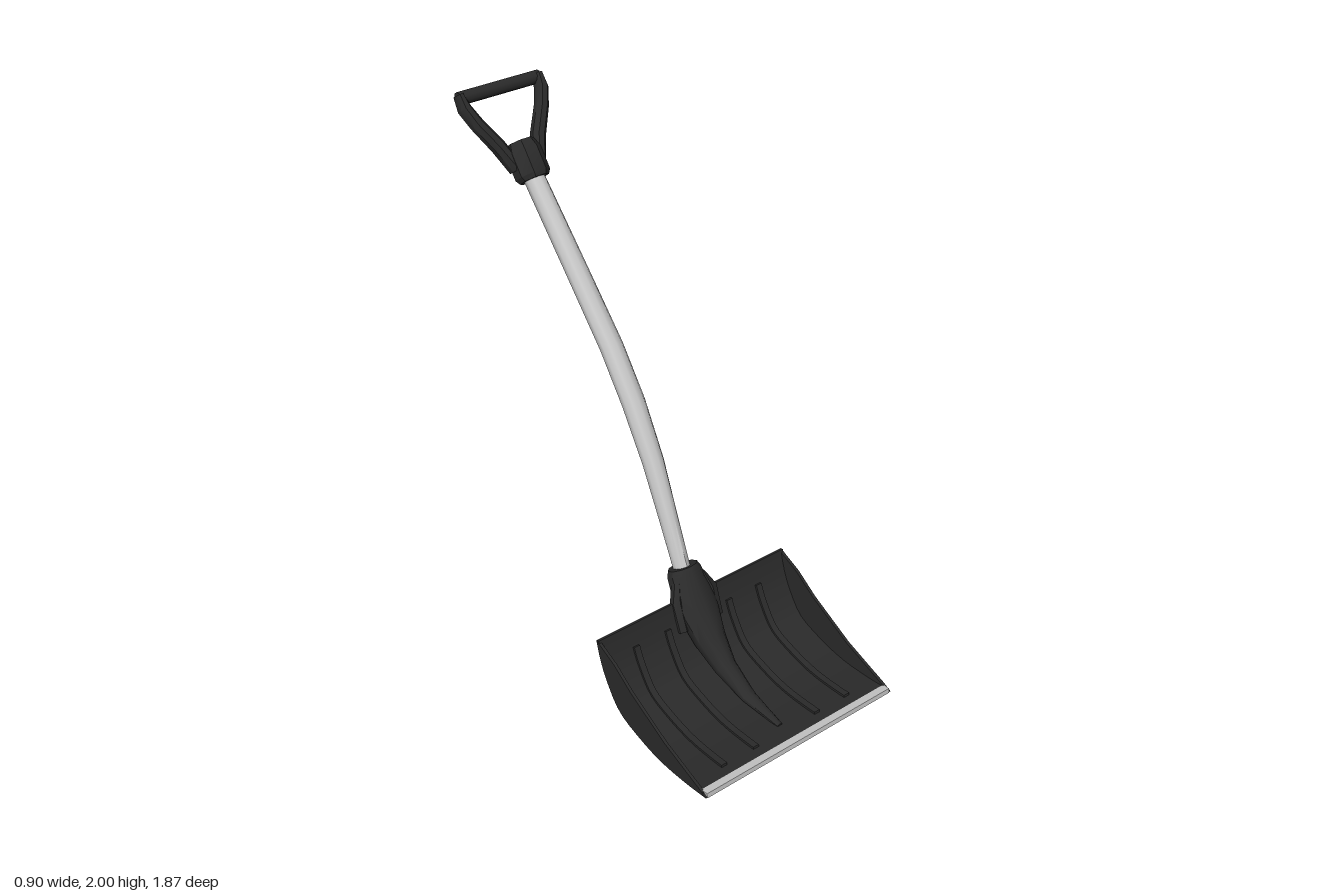
import * as THREE from 'three';
import { toCreasedNormals } from 'three/addons/utils/BufferGeometryUtils.js';

const plastic = new THREE.MeshStandardMaterial({ color: 0x2a2a2a });
plastic.name = 'black plastic';
const metal = new THREE.MeshStandardMaterial({ color: 0xc6c6c6 });
metal.name = 'light metal';

// Closed solid through stations [x, y, z, half width, half depth]
function loft(stations, sides, crease = 0.7) {
  const pts = stations.map(s => new THREE.Vector3(s[0], s[1], s[2]));
  const n = pts.length;
  const pos = [];
  const rings = pts.map((p, i) => {
    const t = pts[Math.min(i + 1, n - 1)].clone().sub(pts[Math.max(i - 1, 0)]).normalize();
    const u = new THREE.Vector3(1, 0, 0).addScaledVector(t, -t.x).normalize();
    const v = t.clone().cross(u);
    return Array.from({ length: sides }, (_, j) => {
      const a = ((j + 0.5) / sides) * Math.PI * 2;
      return p.clone().addScaledVector(u, Math.cos(a) * stations[i][3]).addScaledVector(v, Math.sin(a) * stations[i][4]);
    });
  });
  const tri = (...vs) => vs.forEach(v => pos.push(v.x, v.y, v.z));
  for (let j = 0; j < sides; j++) {
    const k = (j + 1) % sides;
    for (let i = 0; i < n - 1; i++) {
      tri(rings[i][j], rings[i][k], rings[i + 1][k]);
      tri(rings[i][j], rings[i + 1][k], rings[i + 1][j]);
    }
    tri(pts[0], rings[0][k], rings[0][j]);
    tri(pts[n - 1], rings[n - 1][j], rings[n - 1][k]);
  }
  const g = new THREE.BufferGeometry();
  g.setAttribute('position', new THREE.Float32BufferAttribute(pos, 3));
  return toCreasedNormals(g, crease);
}

// Underside of the scoop in (z, y), from the cutting edge to the back rim
const scoop = new THREE.SplineCurve([
  [0.94, 0.028], [0.82, 0.01], [0.68, 0.002], [0.55, 0.02], [0.43, 0.06],
  [0.355, 0.15], [0.315, 0.23], [0.29, 0.312],
].map(p => new THREE.Vector2(...p)));

// Points along the scoop between t0 and t1, raised towards its inside
function scoopLine(t0, t1, raise, steps = 20) {
  return Array.from({ length: steps + 1 }, (_, i) => {
    const t = t0 + ((t1 - t0) * i) / steps;
    const p = scoop.getPoint(t), d = scoop.getTangent(t);
    return new THREE.Vector2(p.x + d.y * raise, p.y - d.x * raise);
  });
}

// Extrude a (z, y) outline across x
function across(points, width, x) {
  const g = new THREE.ExtrudeGeometry(new THREE.Shape(points), { depth: width, bevelEnabled: false });
  g.translate(0, 0, -width / 2);
  g.rotateY(-Math.PI / 2);
  g.translate(x, 0, 0);
  return toCreasedNormals(g, 0.5);
}

const band = (t0, t1, low, high, width, x) =>
  across([...scoopLine(t0, t1, low), ...scoopLine(t0, t1, high).reverse()], width, x);

export function createModel() {
  const model = new THREE.Group();
  model.name = 'snowShovel';
  const add = (name, geometry, material, parent = model) => {
    const m = new THREE.Mesh(geometry, material);
    m.name = name;
    parent.add(m);
    return m;
  };

  // Scoop: curved plate, end walls, ribs and the metal cutting edge
  const blade = new THREE.Group();
  blade.name = 'blade';
  model.add(blade);
  add('bladePlate', band(0.03, 1, 0, 0.014, 0.9, 0), plastic, blade);
  add('cuttingEdge', band(0, 0.05, -0.003, 0.017, 0.89, 0), metal, blade);
  const wallTop = [[0.29, 0.312], [0.4, 0.268], [0.5, 0.205], [0.7, 0.11], [0.9, 0.045]]
    .map(p => new THREE.Vector2(...p));
  for (const side of [-1, 1]) {
    add('endWall', across([...scoopLine(0, 0.99, 0), ...wallTop], 0.012, side * 0.446), plastic, blade);
    for (const x of [0.15, 0.3]) {
      add('rib', band(0.1, 0.85, 0.008, 0.024, 0.026, side * x), plastic, blade);
    }
  }

  // Socket fading into a central ridge on the scoop
  add('socket', loft([
    [0, 0.405, 0.23, 0.062, 0.052],
    [0, 0.385, 0.24, 0.072, 0.058],
    [0, 0.32, 0.285, 0.082, 0.06],
    [0, 0.25, 0.335, 0.085, 0.062],
    [0, 0.16, 0.405, 0.065, 0.06],
    [0, 0.085, 0.5, 0.045, 0.045],
    [0, 0.035, 0.64, 0.03, 0.025],
    [0, 0.022, 0.82, 0.012, 0.01],
  ], 10), plastic);
  // Webs that flare from the socket onto the back rim
  for (const side of [-1, 1]) {
    add('socketWeb', loft([
      [side * 0.06, 0.37, 0.265, 0.014, 0.025],
      [side * 0.08, 0.31, 0.3, 0.03, 0.022],
      [side * 0.08, 0.2, 0.345, 0.028, 0.02],
    ], 6), plastic);
  }

  // Bent shaft
  add('shaft', loft([
    [-0.003, 0.37, 0.243, 0.032, 0.04],
    [0.002, 0.58, 0.138, 0.037, 0.04],
    [0.008, 0.78, 0.035, 0.043, 0.042],
    [0.011, 0.98, -0.09, 0.047, 0.043],
    [0.011, 1.16, -0.225, 0.047, 0.042],
    [0.005, 1.4, -0.435, 0.045, 0.041],
    [-0.003, 1.7, -0.7, 0.042, 0.041],
  ], 10), metal);

  // Collar at the top of the shaft
  add('collar', loft([
    [0, 1.678, -0.688, 0.058, 0.06],
    [0, 1.692, -0.699, 0.07, 0.07],
    [0, 1.765, -0.757, 0.07, 0.07],
    [0, 1.795, -0.781, 0.056, 0.056],
  ], 8, 0.5), plastic);

  // D-shaped grip: two splayed arms joined by a crossbar
  const grip = new THREE.Group();
  grip.name = 'grip';
  model.add(grip);
  for (const side of [-1, 1]) {
    add('gripArm', loft([
      [side * 0.05, 1.715, -0.735, 0.026, 0.04],
      [side * 0.09, 1.8, -0.79, 0.03, 0.034],
      [side * 0.145, 1.885, -0.842, 0.028, 0.032],
      [side * 0.172, 1.94, -0.88, 0.026, 0.036],
      [side * 0.176, 1.985, -0.91, 0.018, 0.03],
    ], 8), plastic, grip);
  }
  const bar = add('crossbar', new THREE.CylinderGeometry(0.026, 0.026, 0.36, 10), plastic, grip);
  bar.rotation.z = Math.PI / 2;
  bar.position.set(0, 1.972, -0.908);
  return model;
}
